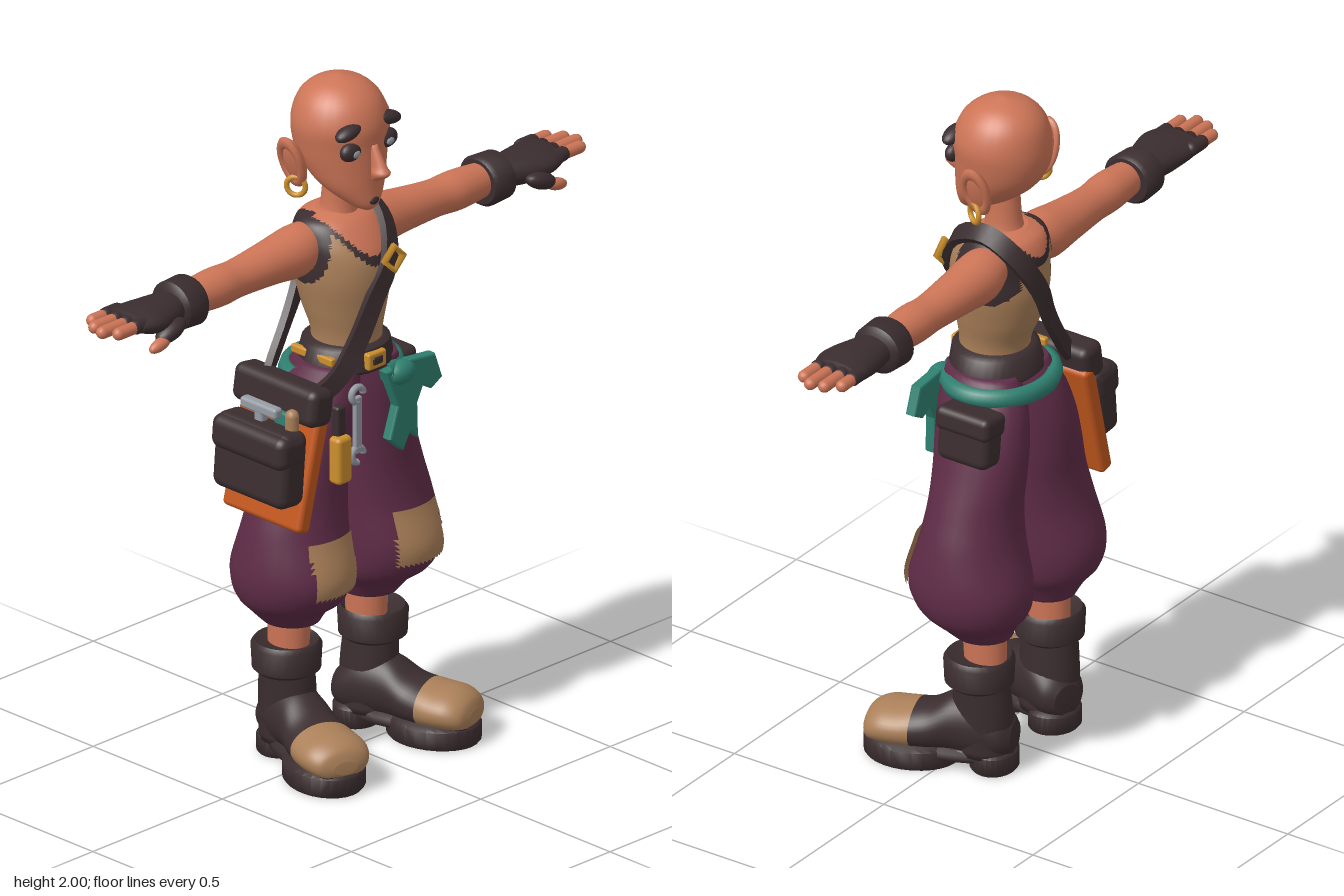
import * as THREE from 'three';
import { toCreasedNormals } from 'three/addons/utils/BufferGeometryUtils.js';
import { RoundedBoxGeometry } from 'three/addons/geometries/RoundedBoxGeometry.js';

const mat = (name, color) => {
  const m = new THREE.MeshStandardMaterial({ color, side: THREE.DoubleSide });
  m.name = name;
  return m;
};

// Smooth interpolation of one ring parameter
const spline = (a, b, c, d, t) =>
  0.5 * (2 * b + (c - a) * t + (2 * a - 5 * b + 4 * c - d) * t * t + (3 * b - a - 3 * c + d) * t ** 3);

// Closed body through elliptical rings [t, a, b, ra, rb] along an axis.
// pick(x, y, z) returns a material index for each face, or -1 to leave it out.
function loft(axis, rings, { seg = 28, steps = 5, pick } = {}) {
  const rows = [];
  for (let i = 0; i < rings.length - 1; i++) {
    const q = [i - 1, i, i + 1, i + 2].map(k => rings[Math.min(Math.max(k, 0), rings.length - 1)]);
    for (let s = 0; s < steps; s++)
      rows.push(q[1].map((_, k) => steps === 1 ? q[1][k] : spline(q[0][k], q[1][k], q[2][k], q[3][k], s / steps)));
  }
  rows.push(rings[rings.length - 1]);
  const pos = [];
  const put = (t, a, b) => pos.push(...(axis === 'y' ? [a, t, b] : axis === 'z' ? [a, b, t] : [t, a, b]));
  for (const [t, a, b, ra, rb] of rows)
    for (let j = 0; j < seg; j++) {
      const w = j / seg * Math.PI * 2;
      put(t, a + ra * Math.cos(w), b + rb * Math.sin(w));
    }
  const first = rows[0], last = rows[rows.length - 1], n = rows.length * seg;
  put(first[0], first[1], first[2]);
  put(last[0], last[1], last[2]);
  const lists = [[], [], []];
  const tri = (a, b, c) => {
    const mid = [0, 1, 2].map(k => (pos[a * 3 + k] + pos[b * 3 + k] + pos[c * 3 + k]) / 3);
    const g = pick ? pick(...mid) : 0;
    if (g >= 0) lists[g].push(...(axis === 'y' ? [a, c, b] : [a, b, c]));
  };
  for (let j = 0; j < seg; j++) {
    const k = (j + 1) % seg, top = n - seg;
    for (let i = 0; i < rows.length - 1; i++) {
      const a = i * seg + j, b = i * seg + k;
      tri(a, b, a + seg);
      tri(b, b + seg, a + seg);
    }
    tri(n, k, j);
    tri(n + 1, top + j, top + k);
  }
  let geo = new THREE.BufferGeometry();
  geo.setAttribute('position', new THREE.Float32BufferAttribute(pos, 3));
  geo.setIndex(lists.flat());
  geo.computeVertexNormals();
  if (steps === 1) geo = toCreasedNormals(geo, 0.8);
  if (pick) {
    let start = 0;
    lists.forEach((l, i) => { geo.addGroup(start, l.length, i); start += l.length; });
  }
  return geo;
}

// Flat band swept along points, facing away from the torso
function band(points, width, thick) {
  const curve = new THREE.CatmullRomCurve3(points.map(p => new THREE.Vector3(...p)));
  const pos = [], idx = [], N = 40;
  for (let i = 0; i <= N; i++) {
    const p = curve.getPoint(i / N), t = curve.getTangent(i / N);
    const out = new THREE.Vector3(p.x + 0.04, (p.y - 1.35) * 0.5, p.z);
    out.addScaledVector(t, -out.dot(t)).normalize();
    const side = t.clone().cross(out);
    for (const [u, v] of [[-1, -1], [1, -1], [1, 1], [-1, 1]])
      pos.push(...p.clone().addScaledVector(side, u * width / 2).addScaledVector(out, v * thick / 2).toArray());
    if (i < N) for (let k = 0; k < 4; k++) {
      const a = i * 4 + k, b = i * 4 + (k + 1) % 4;
      idx.push(a, b, a + 4, b, b + 4, a + 4);
    }
  }
  const geo = new THREE.BufferGeometry();
  geo.setAttribute('position', new THREE.Float32BufferAttribute(pos, 3));
  geo.setIndex(idx);
  return toCreasedNormals(geo, 0.7);
}

function mirrored(src) {
  const geo = src.clone().scale(1, 1, -1);
  const idx = geo.index ? Array.from(geo.index.array) : Array.from({ length: geo.attributes.position.count }, (_, i) => i);
  for (let i = 0; i < idx.length; i += 3) [idx[i], idx[i + 1]] = [idx[i + 1], idx[i]];
  geo.setIndex(idx);
  return geo;
}

const box = (w, h, d, x, y, z, tilt = 0) =>
  new RoundedBoxGeometry(w, h, d, 3, Math.min(w, h, d) * 0.3).rotateX(tilt).translate(x, y, z);
const ball = (rx, ry, rz, x, y, z, turn = 0) =>
  new THREE.SphereGeometry(1, 20, 14).scale(rx, ry, rz).rotateX(turn).translate(x, y, z);

export function createModel() {
  const skin = mat('skin', 0xcd7557), dark = mat('dark leather', 0x3b2d2f), tan = mat('tan cloth', 0xab8059);
  const purple = mat('purple cloth', 0x5f2c47), teal = mat('teal cloth', 0x2f8070), orange = mat('orange leather', 0xc4581e);
  const gold = mat('gold', 0xcc8f2e), grey = mat('grey metal', 0x969ca3);
  const model = new THREE.Group();
  const add = (name, geo, m) => {
    const mesh = new THREE.Mesh(geo, m);
    mesh.name = name;
    model.add(mesh);
  };
  const pair = (name, geo, m) => { add(name + 'A', geo, m); add(name + 'B', mirrored(geo), m); };

  // Head, looking along +x
  add('head', loft('y', [[1.632, 0.06, 0, 0.015, 0.015], [1.65, 0.045, 0, 0.045, 0.045], [1.7, 0.0, 0, 0.09, 0.092],
    [1.76, -0.033, 0, 0.123, 0.117], [1.82, -0.045, 0, 0.135, 0.13], [1.88, -0.045, 0, 0.136, 0.135],
    [1.94, -0.048, 0, 0.115, 0.113], [1.98, -0.05, 0, 0.07, 0.07], [2, -0.05, 0, 0.008, 0.008]]), skin);
  add('nose', loft('y', [[1.728, 0.095, 0, 0.012, 0.012], [1.752, 0.113, 0, 0.03, 0.024], [1.775, 0.105, 0, 0.026, 0.017],
    [1.83, 0.08, 0, 0.016, 0.012]], { seg: 16 }), skin);
  add('chinTuft', ball(0.014, 0.014, 0.02, 0.082, 1.663, 0), dark);
  add('neck', loft('y', [[1.55, -0.06, 0, 0.085, 0.08], [1.61, -0.05, 0, 0.055, 0.05], [1.73, -0.04, 0, 0.055, 0.045]]), skin);
  pair('eyeRim', ball(0.022, 0.028, 0.036, 0.066, 1.823, 0.07), dark);
  pair('eye', ball(0.008, 0.012, 0.015, 0.083, 1.82, 0.066), grey);
  pair('eyebrow', ball(0.026, 0.02, 0.045, 0.064, 1.882, 0.077, 0.25), dark);
  pair('ear', ball(0.037, 0.078, 0.022, -0.07, 1.775, 0.15, 0.3), skin);
  pair('earRim', new THREE.TorusGeometry(0.036, 0.011, 8, 24).scale(1, 1.8, 1).rotateX(0.3).translate(-0.07, 1.78, 0.163), skin);
  pair('earring', new THREE.TorusGeometry(0.027, 0.008, 8, 24).rotateY(0.5).translate(-0.06, 1.708, 0.155), gold);

  // Torso: skin neckline, dark edging, tan top
  const topPick = (x, y, z) => {
    const edge = (x > -0.06 ? 1.5 : 1.54) + (z / 0.085) ** 2 * 0.08;
    if (y > edge) return 1;
    return y > edge - 0.028 || (Math.abs(z) > 0.07 && Math.hypot(x + 0.07, y - 1.51) < 0.1) ? 2 : 0;
  };
  add('torso', loft('y', [[1.16, -0.02, 0, 0.1, 0.1], [1.25, -0.02, 0, 0.1, 0.098], [1.33, -0.03, 0, 0.122, 0.115],
    [1.42, -0.035, 0, 0.14, 0.133], [1.49, -0.038, 0, 0.138, 0.135], [1.54, -0.05, 0, 0.125, 0.133],
    [1.585, -0.06, 0, 0.095, 0.115], [1.607, -0.06, 0, 0.055, 0.06]], { seg: 64, steps: 9, pick: topPick }), [tan, skin, dark]);

  // Arms and fingerless gloves
  pair('arm', loft('z', [[0.09, -0.07, 1.525, 0.06, 0.055], [0.15, -0.07, 1.51, 0.072, 0.073], [0.25, -0.07, 1.505, 0.065, 0.062],
    [0.38, -0.068, 1.5, 0.055, 0.053], [0.47, -0.065, 1.5, 0.058, 0.056], [0.6, -0.065, 1.5, 0.046, 0.045]]), skin);
  pair('gloveCuff', loft('z', [[0.553, -0.067, 1.495, 0.07, 0.065], [0.565, -0.067, 1.495, 0.08, 0.073],
    [0.628, -0.067, 1.495, 0.076, 0.07], [0.64, -0.067, 1.495, 0.062, 0.055]], { steps: 1 }), dark);
  pair('glove', loft('z', [[0.62, -0.065, 1.5, 0.052, 0.04], [0.69, -0.058, 1.5, 0.072, 0.045], [0.76, -0.056, 1.505, 0.084, 0.04],
    [0.815, -0.066, 1.51, 0.078, 0.027]]), dark);
  [[-0.126, 0.875], [-0.088, 0.905], [-0.048, 0.915], [-0.01, 0.89]].forEach(([x, tip], i) => {
    const finger = (r, a, b) => new THREE.CapsuleGeometry(r, b - a, 5, 12).rotateX(Math.PI / 2).translate(x, 1.512, (a + b) / 2);
    pair('gloveFinger' + i, finger(0.021, 0.78, 0.825), dark);
    pair('finger' + i, finger(0.018, 0.82, tip), skin);
  });
  pair('thumbSleeve', ball(0.03, 0.025, 0.055, 0.016, 1.475, 0.715, 0.35), dark);
  pair('thumb', ball(0.018, 0.018, 0.04, 0.025, 1.452, 0.765, 0.25), skin);

  // Baggy trousers with knee patches
  const leg = [[0.41, -0.085, 0.15, 0.085, 0.08], [0.45, -0.08, 0.16, 0.11, 0.112], [0.5, -0.068, 0.168, 0.16, 0.148],
    [0.58, -0.06, 0.172, 0.178, 0.16], [0.7, -0.058, 0.162, 0.145, 0.152], [0.8, -0.058, 0.146, 0.131, 0.138],
    [0.9, -0.06, 0.128, 0.135, 0.122], [1, -0.055, 0.11, 0.14, 0.108], [1.1, -0.043, 0.088, 0.134, 0.092],
    [1.18, -0.025, 0.068, 0.11, 0.072]];
  pair('trouserLeg', loft('y', leg), purple);
  pair('kneePatch', loft('y', leg.map(([t, a, b, ra, rb]) => [t, a, b, ra + 0.012, rb + 0.012]), {
    seg: 72, steps: 8, pick: (x, y, z) => x > 0 && y > 0.54 && y < 0.7 && Math.abs(z - 0.163) < 0.083 ? 0 : -1
  }), tan);

  // Boots, turned outwards around the ankle
  const boot = geo => geo.rotateY(-0.3).translate(-0.09, 0, 0.152);
  pair('ankle', loft('y', [[0.3, -0.095, 0.15, 0.062, 0.05], [0.44, -0.09, 0.15, 0.066, 0.055]]), skin);
  pair('bootShaft', loft('y', [[0.05, -0.09, 0.153, 0.088, 0.075], [0.18, -0.09, 0.158, 0.088, 0.073], [0.28, -0.087, 0.163, 0.08, 0.072]]), dark);
  pair('bootCuff', loft('y', [[0.258, -0.085, 0.167, 0.08, 0.08], [0.27, -0.085, 0.167, 0.097, 0.094], [0.338, -0.085, 0.167, 0.1, 0.098],
    [0.352, -0.085, 0.167, 0.09, 0.088], [0.335, -0.09, 0.155, 0.065, 0.06]], { steps: 1 }), dark);
  pair('bootFoot', boot(loft('x', [[-0.09, 0.1, 0, 0.045, 0.045], [-0.06, 0.11, 0, 0.07, 0.072], [0, 0.125, 0, 0.1, 0.08],
    [0.08, 0.125, 0, 0.09, 0.08], [0.15, 0.105, 0, 0.07, 0.09], [0.22, 0.1, 0, 0.062, 0.1], [0.28, 0.098, 0, 0.058, 0.097],
    [0.32, 0.09, 0, 0.045, 0.075], [0.335, 0.085, 0, 0.018, 0.035]], {
    seg: 40, steps: 7, pick: (x, y) => x > 0.19 && y > 0.062 ? 1 : 0
  })), [dark, tan]);
  const sole = (x, rx, rz, low) => boot(loft('y', [[low, x, 0, rx - 0.006, rz - 0.006], [low + 0.008, x, 0, rx, rz], [0.055, x, 0, rx, rz],
    [0.065, x, 0, rx - 0.01, rz - 0.01]], { steps: 1 }));
  pair('bootSole', sole(0.205, 0.137, 0.108, 0), dark);
  pair('bootWaist', sole(0.1, 0.18, 0.078, 0.03), dark);
  pair('bootHeel', sole(-0.03, 0.068, 0.078, 0), dark);

  // Belt, buckle and sash
  add('belt', loft('y', [[1.155, -0.025, 0, 0.12, 0.13], [1.165, -0.025, 0, 0.13, 0.138], [1.225, -0.022, 0, 0.12, 0.124],
    [1.235, -0.022, 0, 0.105, 0.11]], { steps: 1, seg: 36 }), dark);
  add('beltBuckle', box(0.025, 0.05, 0.07, 0.1, 1.195, 0.01), gold);
  add('beltBuckleCentre', box(0.025, 0.025, 0.04, 0.104, 1.195, 0.01), dark);
  for (const x of [-0.08, 0.02]) add('beltPlate', box(0.06, 0.025, 0.02, x, 1.2, 0.118), gold);
  add('sash', new THREE.TorusGeometry(0.15, 0.024, 8, 40, 4.3).rotateX(Math.PI / 2).rotateY(-1.75)
    .scale(0.93, 1.2, 1.06).translate(-0.04, 1.135, 0), teal);
  add('sashKnot', ball(0.032, 0.035, 0.05, 0.1, 1.125, -0.09), teal);
  const tails = new THREE.Shape([[0.03, 1.14], [0.12, 1.15], [0.21, 1.14], [0.235, 1.07], [0.2, 1.05], [0.165, 1.07], [0.14, 1.02],
    [0.145, 0.92], [0.118, 0.95], [0.09, 0.9], [0.045, 0.94], [0.075, 1.03]].map(p => new THREE.Vector2(...p)));
  add('sashTails', new THREE.ExtrudeGeometry(tails, { depth: 0.02, bevelSize: 0.006, bevelThickness: 0.006, bevelSegments: 2 })
    .rotateY(Math.PI / 2).translate(0.085, 0, 0), teal);

  // Shoulder strap
  add('shoulderStrap', band([[0.04, 1.1, 0.23], [0.1, 1.18, 0.155], [0.107, 1.27, 0.085], [0.112, 1.38, 0.025], [0.106, 1.48, -0.04],
    [0.04, 1.58, -0.085], [-0.06, 1.615, -0.1], [-0.145, 1.565, -0.085], [-0.182, 1.45, -0.02], [-0.165, 1.33, 0.05],
    [-0.15, 1.22, 0.125], [-0.12, 1.12, 0.22]], 0.055, 0.02), dark);
  add('strapBuckle', new THREE.TorusGeometry(0.036, 0.011, 6, 4).rotateY(Math.PI / 2).translate(0.118, 1.485, -0.045), gold);

  // Satchel and tools on the +z hip
  add('satchelBack', box(0.3, 0.36, 0.05, -0.05, 0.93, 0.24, -0.24), orange);
  add('satchelTop', box(0.32, 0.11, 0.09, -0.04, 1.115, 0.225, -0.15), dark);
  add('satchelPocket', box(0.28, 0.22, 0.1, -0.04, 0.95, 0.315, -0.08), dark);
  add('satchelFlap', box(0.285, 0.1, 0.11, -0.04, 1.005, 0.318, -0.08), dark);
  add('hammerHead', box(0.14, 0.032, 0.032, -0.05, 1.095, 0.3), grey);
  add('hammerHandle', box(0.032, 0.09, 0.03, -0.05, 1.06, 0.3), grey);
  add('brushHandle', new THREE.CapsuleGeometry(0.02, 0.08, 4, 12).translate(0.055, 1.055, 0.285), tan);
  add('satchelCloth', box(0.05, 0.05, 0.025, 0.01, 1.07, 0.275), teal);
  add('hangingFlask', box(0.045, 0.14, 0.056, 0.112, 0.945, 0.155), gold);
  add('flaskCap', box(0.03, 0.1, 0.035, 0.1, 1.05, 0.15), dark);
  add('wrenchShaft', box(0.016, 0.17, 0.026, 0.1, 1.02, 0.078), grey);
  for (const y of [0.93, 1.11])
    add('wrenchEnd', new THREE.TorusGeometry(0.022, 0.01, 8, 16, 4.8).rotateY(Math.PI / 2).translate(0.1, y, 0.078), grey);

  // Pouch on the -z hip
  add('hipPouch', box(0.17, 0.15, 0.09, -0.08, 1.04, -0.205, 0.1), dark);
  add('hipPouchFlap', box(0.18, 0.07, 0.1, -0.08, 1.09, -0.203, 0.1), dark);
  return model;
}
